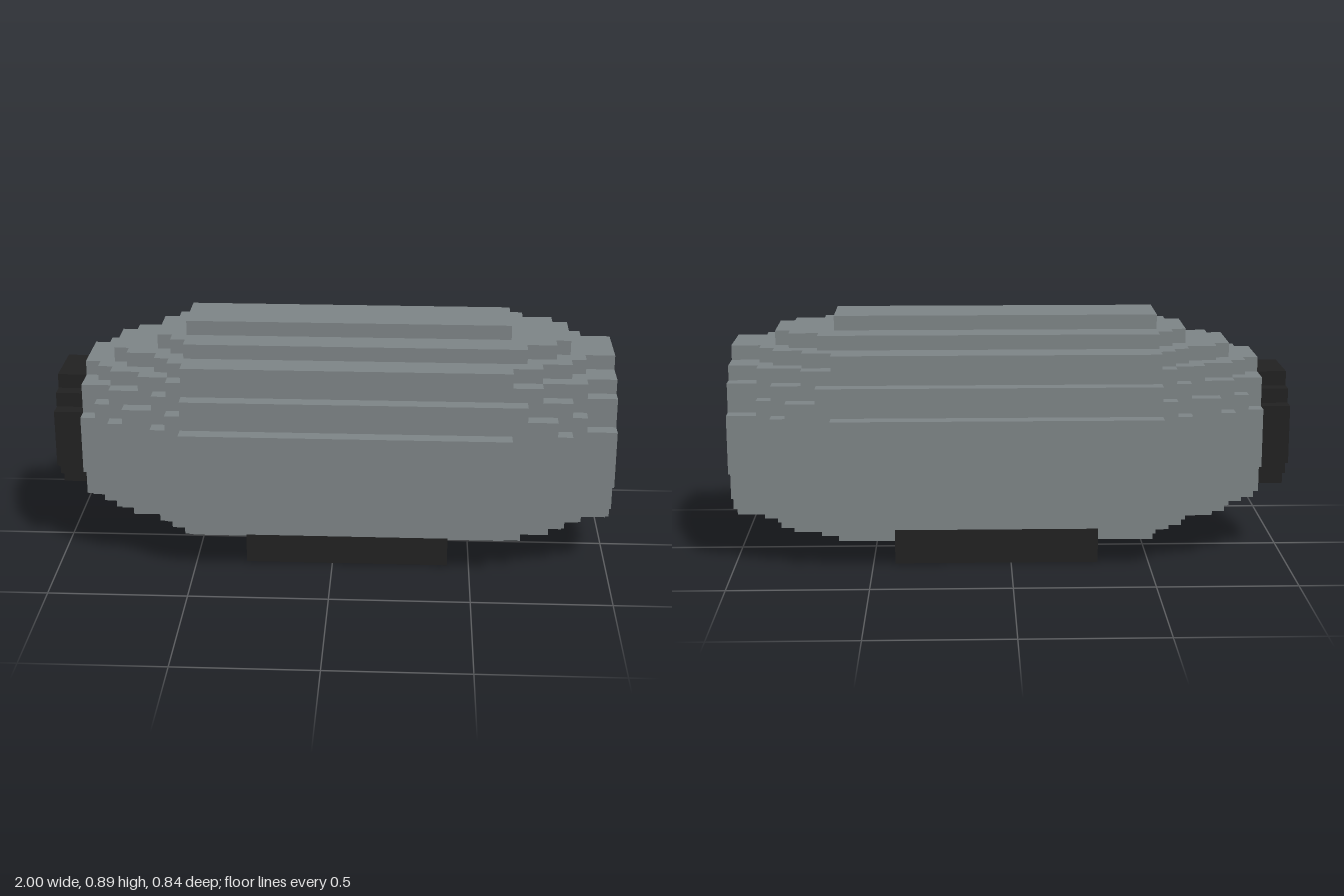
import * as THREE from 'three';

const U = 2 / 38;      // one voxel
const AXIS_Y = 9;      // height of the body axis, in voxels

// Stepped disc: outline of all voxels whose centres lie within the squared radius
function steppedDisc(r2) {
  const side = [];
  for (let row = -8; row < 8; row++) {
    const rest = r2 - (row + 0.5) ** 2;
    if (rest < 0.25) continue;
    const w = Math.floor(Math.sqrt(rest) + 0.5);
    const last = side[side.length - 1];
    if (last && last[0] === w) last[1] = row + 1;
    else side.push([w, row], [w, row + 1]);
  }
  const right = side.map(([w, y]) => new THREE.Vector2(w * U, y * U));
  const left = side.map(([w, y]) => new THREE.Vector2(-w * U, y * U)).reverse();
  return new THREE.Shape([...right, ...left]);
}

// One stretch of the body along x, from voxel x0 to x1
function slice(name, x0, x1, r2, material) {
  const geometry = new THREE.ExtrudeGeometry(steppedDisc(r2), {
    depth: (x1 - x0) * U, bevelEnabled: false,
  });
  geometry.rotateY(Math.PI / 2);
  geometry.translate(x0 * U - 1, AXIS_Y * U, 0);
  const mesh = new THREE.Mesh(geometry, material);
  mesh.name = name;
  return mesh;
}

export function createModel() {
  const grey = new THREE.MeshStandardMaterial({ color: 0x7f8688 });
  grey.name = 'hullGrey';
  const black = new THREE.MeshStandardMaterial({ color: 0x222222 });
  black.name = 'matteBlack';

  const model = new THREE.Group();
  model.name = 'pod';

  // Rounded hull: start, end and squared radius of each stretch
  const hull = new THREE.Group();
  hull.name = 'hull';
  const stretches = [
    [2, 3, 25], [3, 4, 28], [4, 5, 34], [5, 6, 38], [6, 7, 41], [7, 8, 46], [8, 9, 51],
    [9, 31, 61],
    [31, 32, 55], [32, 33, 52], [33, 34, 49], [34, 35, 46], [35, 36, 41], [36, 38, 34],
  ];
  stretches.forEach(([a, b, r2], i) => hull.add(slice(`hullRing${i + 1}`, a, b, r2, grey)));
  model.add(hull);

  // Black end cap
  model.add(slice('endCap', 0, 2, 16, black));

  // Black mounting block, a hair proud of the hull steps it is flush with
  const base = new THREE.Mesh(new THREE.BoxGeometry(14 * U, 3 * U, 8 * U + 0.003), black);
  base.name = 'mountingBlock';
  base.position.set(20 * U - 1, 1.5 * U, 0);
  model.add(base);

  return model;
}
